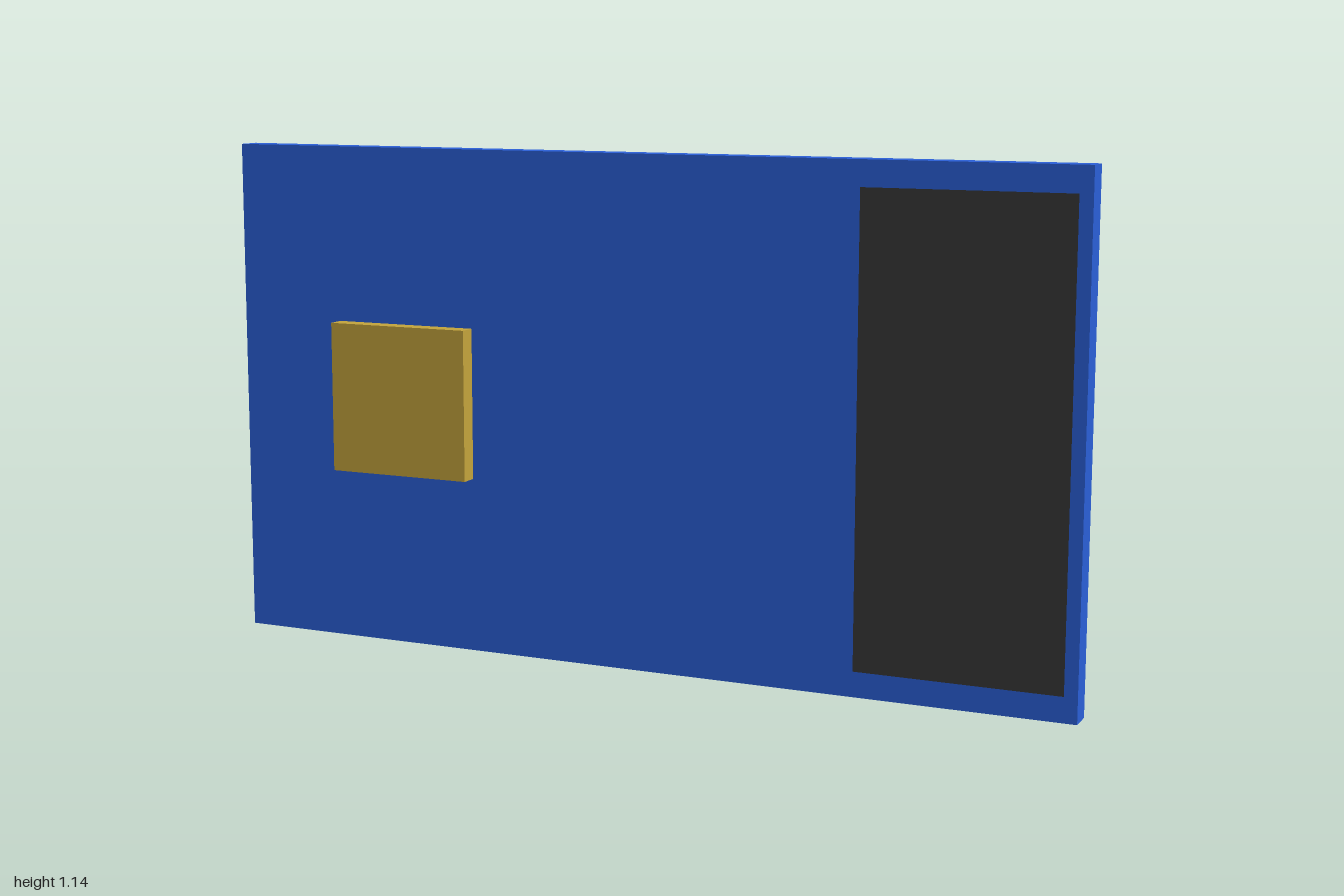
import * as THREE from 'three';

export function createModel() {
  const card = new THREE.Group();
  card.name = 'card';

  const U = 2 / 3.5; // card is 3.5 x 2 x 0.1 in its own units
  const backZ = -0.085 * U;
  const faceZ = backZ + 0.1 * U;

  const add = (name, geometry, color, x, z) => {
    const mesh = new THREE.Mesh(geometry, new THREE.MeshStandardMaterial({ color }));
    mesh.name = name;
    mesh.position.set(x, U, z);
    card.add(mesh);
  };

  // Flat card body
  add('cardBody', new THREE.BoxGeometry(2, 2 * U, 0.1 * U), 0x2b60d8, 0, (backZ + faceZ) / 2);

  // Raised square contact chip
  add('chip', new THREE.BoxGeometry(0.6 * U, 0.6 * U, 0.07 * U), 0xc4a43c, -U, faceZ + 0.035 * U);

  // Dark stripe lying just above the front face
  add('stripe', new THREE.PlaneGeometry(0.8 * U, 1.8 * U), 0x383838, 1.3 * U, faceZ + 0.005 * U);

  return card;
}
